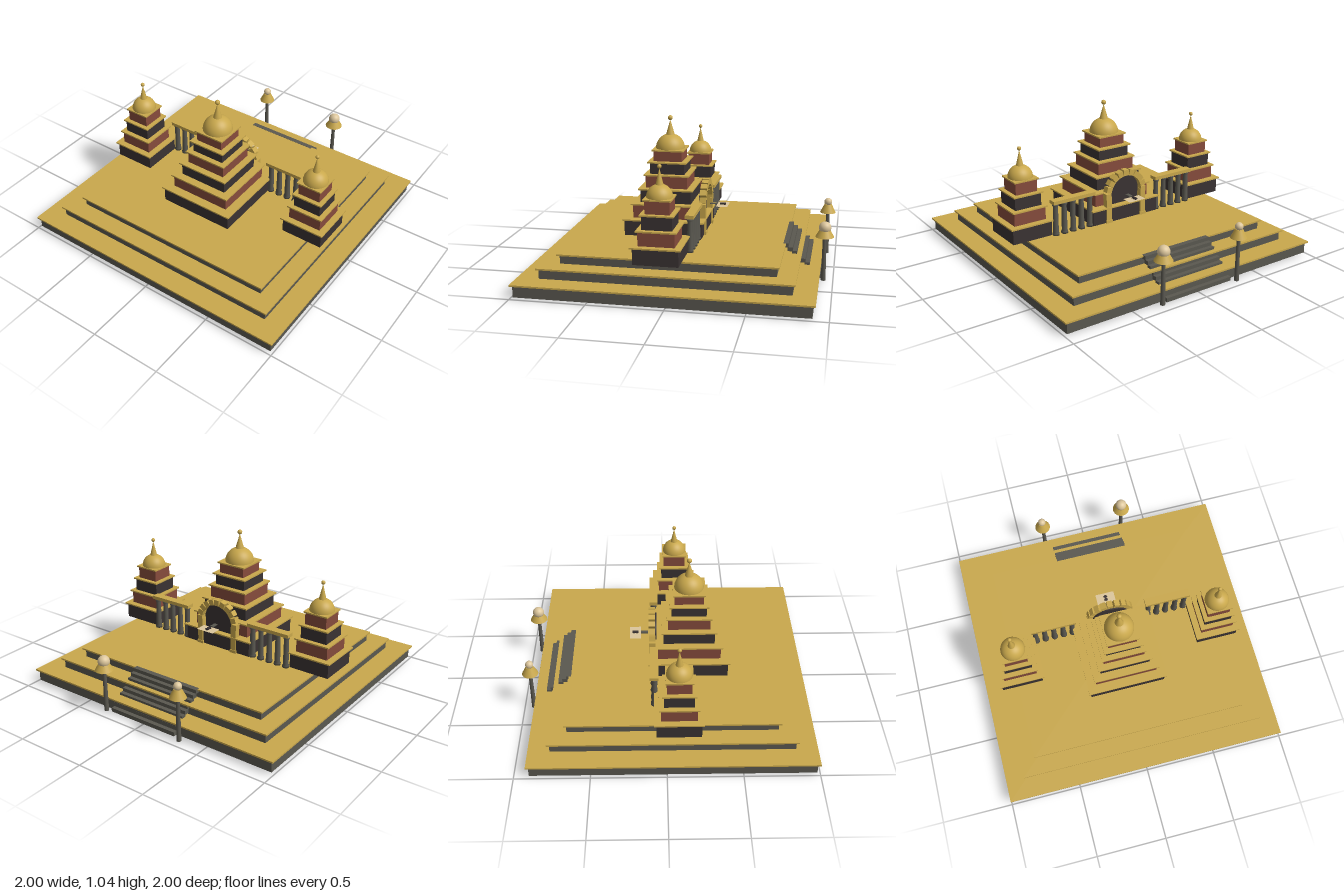
import * as THREE from 'three';

const mat = (name, color) => {
  const m = new THREE.MeshStandardMaterial({ color });
  m.name = name;
  return m;
};

export function createModel() {
  const gold = mat('gold', 0xc9a84c);
  const stone = mat('grey stone', 0x5a5850);
  const dark = mat('dark stone', 0x3a3333);
  const red = mat('red brick', 0x864c3c);
  const pale = mat('pale glass', 0xdcc69c);
  const model = new THREE.Group();

  const add = (parent, name, geo, material, x, y, z) => {
    const m = new THREE.Mesh(geo, material);
    m.name = name;
    m.position.set(x, y, z);
    parent.add(m);
    return m;
  };
  // Box given by its bottom height
  const box = (parent, name, material, w, h, d, x, y, z) =>
    add(parent, name, new THREE.BoxGeometry(w, h, d), material, x, y + h / 2, z);
  const group = (name, x = 0, y = 0, z = 0) => {
    const g = new THREE.Group();
    g.name = name;
    g.position.set(x, y, z);
    model.add(g);
    return g;
  };

  // Terraced platform: [cap half width, cap half depth, bottom, top]
  const platform = group('platform', 0, 0, 0.04);
  [[1, 0.957, 0.01, 0.097], [0.87, 0.828, 0.097, 0.17], [0.763, 0.72, 0.17, 0.237]].forEach(([w, d, y0, y1]) => {
    box(platform, 'terraceWall', stone, 2 * w - 0.034, y1 - y0 - 0.011, 2 * d - 0.034, 0, y0, 0);
    box(platform, 'terraceTop', gold, 2 * w, 0.011, 2 * d, 0, y1 - 0.011, 0);
  });

  // Stepped towers with dome, spire and ball
  const tower = (name, x, z, levels, domeR, domeY, spireTop, ballR) => {
    const g = group(name, x, 0, z);
    let y = 0.237;
    levels.forEach(([half, capHalf, top], i) => {
      box(g, 'towerLevel', i % 2 ? red : dark, 2 * half, top - y - 0.01, 2 * half, 0, y, 0);
      box(g, 'towerLedge', gold, 2 * capHalf, 0.01, 2 * capHalf, 0, top - 0.01, 0);
      y = top;
    });
    add(g, 'dome', new THREE.SphereGeometry(domeR, 32, 12, 0, Math.PI * 2, 0, Math.PI / 2), gold, 0, domeY, 0);
    const y0 = domeY + domeR - 0.006;
    add(g, 'spire', new THREE.ConeGeometry(domeR * 0.3, spireTop - y0, 20), gold, 0, (y0 + spireTop) / 2, 0);
    add(g, 'spireBall', new THREE.SphereGeometry(ballR, 16, 12), gold, 0, spireTop + ballR * 0.7, 0);
  };
  tower('mainTower', 0, 0.165, [
    [0.27, 0.284, 0.352], [0.22, 0.234, 0.452], [0.178, 0.192, 0.55],
    [0.146, 0.158, 0.644], [0.12, 0.137, 0.73], [0.1, 0.112, 0.81],
  ], 0.102, 0.808, 1.01, 0.017);
  for (const s of [-1, 1]) {
    tower(s < 0 ? 'rightTower' : 'leftTower', s * 0.727, 0.08, [
      [0.147, 0.162, 0.352], [0.118, 0.131, 0.452], [0.098, 0.11, 0.55], [0.08, 0.09, 0.644],
    ], 0.085, 0.643, 0.83, 0.014);
  }

  // Colonnades between the towers
  const columnProfile = [[0, 0], [0.024, 0], [0.024, 0.015], [0.02, 0.02], [0.017, 0.205], [0.022, 0.215], [0.022, 0.23], [0, 0.23]]
    .map(([r, y]) => new THREE.Vector2(r, y));
  const columnGeo = new THREE.LatheGeometry(columnProfile, 14);
  for (const s of [-1, 1]) {
    const g = group(s < 0 ? 'rightColonnade' : 'leftColonnade', s * 0.421, 0, -0.08);
    box(g, 'beam', gold, 0.328, 0.024, 0.058, 0, 0.466, 0);
    for (let i = -2; i <= 2; i++) add(g, 'column', columnGeo, stone, i * 0.068, 0.237, 0);
  }

  // Arched gateway on the back of the main tower
  const gate = group('gateway', 0, 0.43, -0.092);
  for (const s of [-1, 1]) {
    box(gate, 'gatePillar', gold, 0.04, 0.193, 0.045, s * 0.143, -0.193, 0);
    box(gate, 'gatePillarBase', gold, 0.05, 0.02, 0.055, s * 0.143, -0.193, 0);
  }
  const stones = 11;
  for (let i = 0; i < stones; i++) {
    const a = (Math.PI * i) / (stones - 1);
    const m = add(gate, 'archStone', new THREE.BoxGeometry(0.042, 0.039, 0.045), gold,
      Math.cos(a) * 0.147, Math.sin(a) * 0.147, 0);
    m.rotation.z = a;
  }
  const doorShape = new THREE.Shape();
  doorShape.moveTo(-0.13, -0.193);
  doorShape.lineTo(0.13, -0.193);
  doorShape.lineTo(0.13, 0);
  doorShape.absarc(0, 0, 0.13, 0, Math.PI, false);
  doorShape.closePath();
  add(gate, 'doorway', new THREE.ExtrudeGeometry(doorShape, { depth: 0.015, bevelEnabled: false, curveSegments: 20 }),
    dark, 0, 0, 0.017);

  // Small hanging tray with an ornament in front of the gateway
  const tray = group('tray', 0, 0.415, -0.21);
  const plate = add(tray, 'trayPlate', new THREE.PlaneGeometry(0.134, 0.08), pale, 0, 0, 0);
  plate.rotation.x = -Math.PI / 2;
  box(tray, 'trayOrnament', dark, 0.014, 0.012, 0.04, 0, 0, 0);
  for (const z of [-0.012, 0.012]) box(tray, 'ornamentArm', dark, 0.03, 0.006, 0.007, 0, 0.002, z);
  box(tray, 'trayBracket', stone, 0.026, 0.006, 0.05, 0, 0.002, 0.065);

  // Stairway up the back
  const stairs = group('stairs');
  for (let i = 0; i < 9; i++) {
    box(stairs, 'step', stone, 0.532, 0.028, 0.035, 0, 0.01 + 0.025 * i, -0.912 + 0.029 * i);
  }

  // Lamp posts either side of the stairs
  const lamp = (name, x, y, shadeR, shadeTopR, shadeY, shadeH, ballR, ballY) => {
    const g = group(name, x, 0, -0.936);
    add(g, 'lampPole', new THREE.CylinderGeometry(0.012, 0.016, shadeY - y, 14), stone, 0, (shadeY + y) / 2, 0);
    add(g, 'lampShade', new THREE.CylinderGeometry(shadeTopR, shadeR, shadeH, 24), gold, 0, shadeY + shadeH / 2, 0);
    add(g, 'lampGlobe', new THREE.SphereGeometry(ballR, 24, 16), pale, 0, ballY, 0);
  };
  lamp('leftLamp', 0.305, 0.01, 0.062, 0.036, 0.313, 0.045, 0.041, 0.375);
  lamp('rightLamp', -0.312, 0, 0.056, 0.026, 0.31, 0.06, 0.028, 0.388);

  return model;
}
